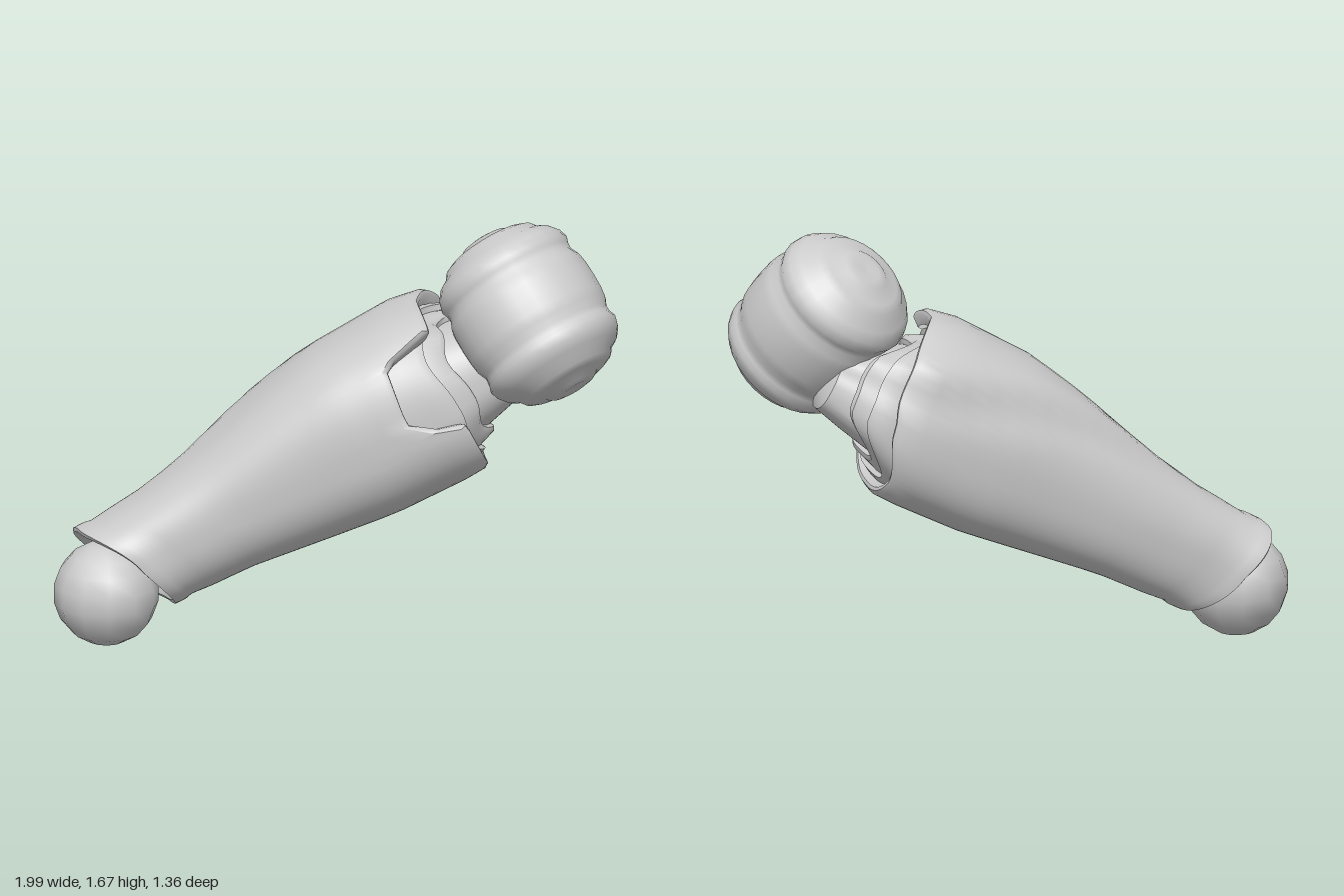
import * as THREE from 'three';
import { toCreasedNormals } from 'three/addons/utils/BufferGeometryUtils.js';

const V = (x, y, z) => new THREE.Vector3(x, y, z);
const { clamp, smoothstep: step } = THREE.MathUtils;
const mat = new THREE.MeshStandardMaterial({ color: 0xcccccc, side: THREE.DoubleSide });

// forearm frame: axis runs from wrist to elbow, side points to the front, up completes it
const wrist = V(-0.77, 0.31, 0.4);
const axis = V(0.75, 0.46, -0.47).normalize();
const side = V(0.53, 0, 0.85).normalize();
const up = axis.clone().cross(side).negate().normalize();

// sleeve stations: distance along axis, then half widths back, front, below, above
const stations = [
  [0, 0.17, 0.25, 0.235, 0.205],
  [0.2, 0.2, 0.255, 0.24, 0.22],
  [0.45, 0.25, 0.275, 0.25, 0.265],
  [0.8, 0.31, 0.335, 0.295, 0.36],
  [1.05, 0.36, 0.38, 0.325, 0.41],
  [1.4, 0.405, 0.4, 0.335, 0.42],
  [1.6, 0.405, 0.375, 0.305, 0.38],
];

function widths(t) {
  const c = clamp(t, 0, 1.6);
  let i = 0;
  while (i < stations.length - 2 && c > stations[i + 1][0]) i++;
  const a = stations[i], b = stations[i + 1];
  const k = (c - a[0]) / (b[0] - a[0]);
  return a.map((n, j) => n + (b[j] - n) * k);
}

// point on the (scaled) forearm section at angle th and distance t
function sectionPoint(th, t, scale) {
  const w = widths(t), c = Math.cos(th), s = Math.sin(th);
  // the upper front and lower back corners are squarer
  let power = 0.94;
  if (c > 0 && s > 0) power = 0.74;
  if (c < 0 && s < 0) power = 0.76 - 0.1 * step(t, 0.6, 1.4);
  const soft = (n) => Math.sign(n) * Math.abs(n) ** power;
  // ridge and groove that wander from the top at the wrist to the back at the elbow
  const d = th - 1.57 - 0.95 * clamp((t - 0.25) / 1.2, 0, 1);
  const fade = step(t, 0.2, 0.6) * scale;
  const r = scale + fade * (0.045 * Math.exp(-((d / 0.17) ** 2)) - 0.04 * Math.exp(-(((d - 0.36) / 0.17) ** 2)));
  const u = soft(c) * (c < 0 ? w[1] : w[2]) * r;
  const v = soft(s) * (s < 0 ? w[3] : w[4]) * r;
  return wrist.clone().addScaledVector(axis, t).addScaledVector(side, u).addScaledVector(up, v);
}

// rows of [t(angle), scale] joined into a skin
function loft(rows, n = 64) {
  const pos = [], idx = [];
  rows.forEach(([t, scale]) => {
    for (let i = 0; i < n; i++) {
      const th = (i / n) * Math.PI * 2;
      pos.push(...sectionPoint(th, t(th), scale).toArray());
    }
  });
  for (let r = 0; r < rows.length - 1; r++) {
    for (let i = 0; i < n; i++) {
      const a = r * n + i, b = r * n + ((i + 1) % n);
      idx.push(a, a + n, b, b, a + n, b + n);
    }
  }
  const g = new THREE.BufferGeometry();
  g.setAttribute('position', new THREE.Float32BufferAttribute(pos, 3));
  g.setIndex(idx);
  return toCreasedNormals(g, 0.8);
}

function mesh(name, geometry) {
  const m = new THREE.Mesh(geometry, mat);
  m.name = name;
  return m;
}

export function createModel() {
  const group = new THREE.Group();
  group.name = 'forearm';
  const back = (th) => Math.max(0, -Math.cos(th));

  // slanted wrist opening, and elbow rim with a notch on the upper front
  const start = (th) => 0.07 * Math.cos(th) - 0.09 * Math.sin(th);
  const notch = (th) => {
    const a = th > Math.PI ? th - 2 * Math.PI : th;
    return step(a, -0.12, 0.12) * (1 - step(a, 0.7, 1.0));
  };
  const end = (th) => 1.45 + 0.06 * Math.max(0, Math.sin(th)) + 0.02 * Math.max(0, Math.cos(th))
    + 0.11 * back(th) * step(Math.sin(th), -0.7, 0.2) - 0.21 * notch(th);

  // sleeve with a hollow wrist cuff and a turned-in elbow rim
  const sleeve = [
    [() => 0.12, 0.001],
    [(th) => start(th) + 0.08, 0.74],
    [(th) => start(th) + 0.02, 0.82],
    [start, 0.93],
    [(th) => start(th) + 0.005, 1.01],
    [(th) => start(th) + 0.05, 1.01],
    [(th) => start(th) + 0.08, 0.98],
  ];
  for (let i = 1; i <= 14; i++) {
    const k = i / 14;
    sleeve.push([(th) => (start(th) + 0.08) * (1 - k) + (end(th) - 0.02) * k, 1]);
  }
  sleeve.push([end, 0.97], [end, 0.93], [(th) => end(th) - 0.03, 0.84]);
  group.add(mesh('sleeve', loft(sleeve)));

  // layered elbow socket, rising behind the joint and closing into a solid neck
  const lip = (th) => 1.46 + 0.2 * back(th) * step(Math.sin(th), -0.9, 0) + 0.015 * Math.cos(5 * th);
  group.add(mesh('elbowSocket', loft([
    [() => 1.15, 0.87],
    [(th) => lip(th) - 0.1, 0.87],
    [(th) => lip(th) - 0.03, 0.85],
    [lip, 0.81],
    [(th) => lip(th) - 0.01, 0.75],
    [(th) => lip(th) + 0.06, 0.7],
    [(th) => lip(th) + 0.07, 0.65],
    [(th) => lip(th) + 0.06, 0.6],
    [() => 1.66, 0.52],
    [() => 1.78, 0.42],
    [() => 1.85, 0.001],
  ])));

  // wrist ball
  const ball = mesh('wristBall', new THREE.SphereGeometry(0.209, 12, 9));
  ball.position.set(-0.792, 0.207, 0.485);
  group.add(ball);

  // elbow joint: a ribbed barrel with stepped domed caps, mirrored about its middle
  const half = [
    [0.001, 0.345], [0.06, 0.35], [0.095, 0.342], [0.12, 0.325], [0.16, 0.318], [0.195, 0.302],
    [0.215, 0.275], [0.25, 0.255], [0.277, 0.22], [0.287, 0.185], [0.278, 0.16],
    [0.276, 0.135], [0.292, 0.1], [0.298, 0.06],
  ];
  const profile = [
    ...half.map(([r, y]) => new THREE.Vector2(r, -y)),
    new THREE.Vector2(0.3, 0),
    ...half.slice().reverse().map(([r, y]) => new THREE.Vector2(r, y)),
  ];
  const joint = mesh('elbowJoint', new THREE.LatheGeometry(profile, 28));
  joint.position.set(0.64, 1.315, -0.35);
  joint.quaternion.setFromUnitVectors(V(0, 1, 0), V(-0.66, 0.73, -0.18).normalize());
  group.add(joint);

  return group;
}
